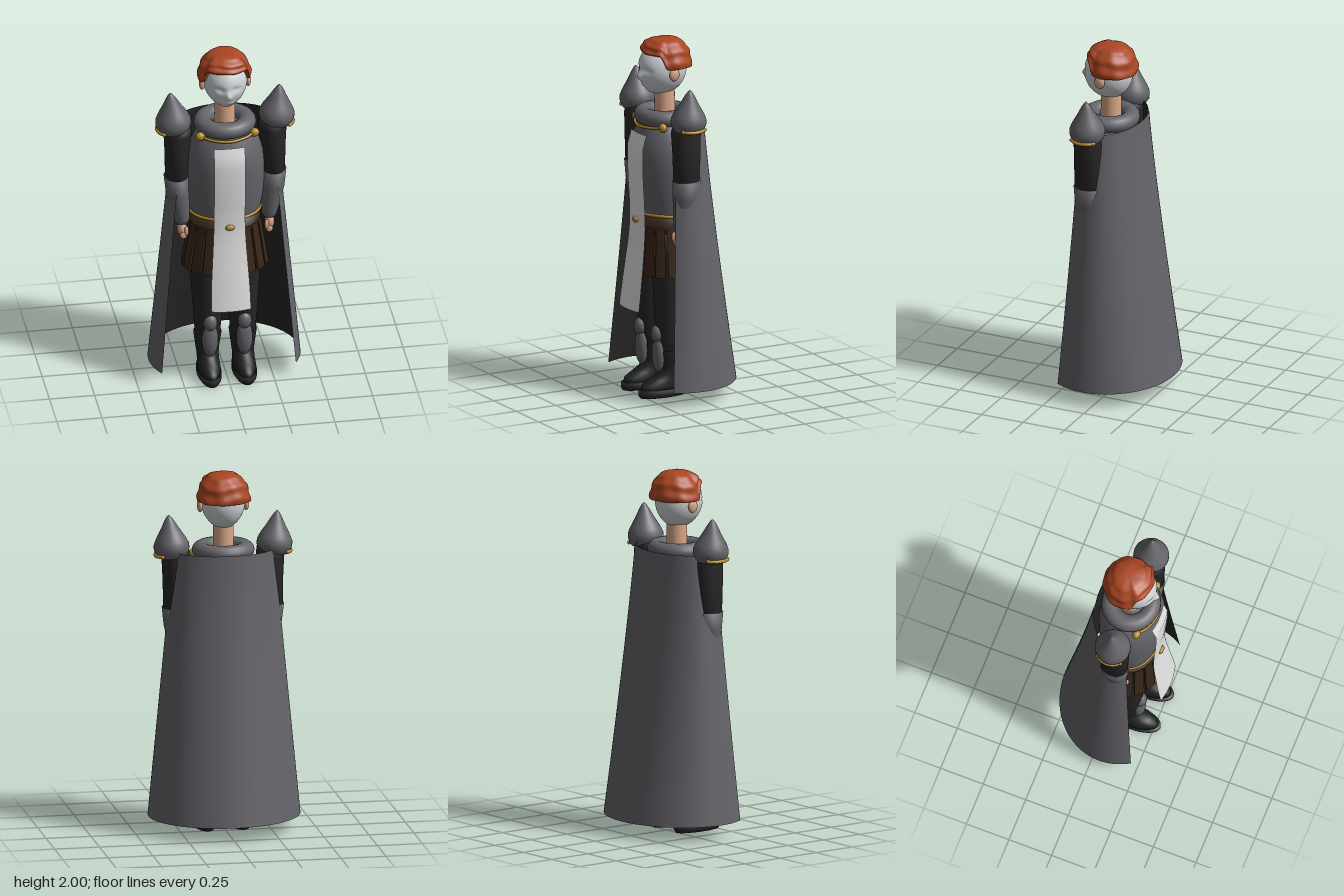
import * as THREE from 'three';
import { mergeVertices } from 'three/addons/utils/BufferGeometryUtils.js';
import { ParametricGeometry } from 'three/addons/geometries/ParametricGeometry.js';

const mat = (name, color, side = THREE.FrontSide) => {
  const m = new THREE.MeshStandardMaterial({ color, side });
  m.name = name;
  return m;
};
const { lerp, smoothstep } = THREE.MathUtils;

// Smooth surface from a rule (u, v) -> [x, y, z], welded along its seams
function surface(rule, nu, nv) {
  const g = new ParametricGeometry((u, v, p) => p.set(...rule(u, v)), nu, nv);
  g.deleteAttribute('uv');
  g.deleteAttribute('normal');
  const m = mergeVertices(g, 1e-5);
  m.computeVertexNormals();
  return m;
}

// Blend linearly along a list of rows
function sample(rows, v) {
  const f = v * (rows.length - 1), i = Math.min(Math.floor(f), rows.length - 2);
  return rows[i].map((a, k) => lerp(a, rows[i + 1][k], f - i));
}

// Elliptic rings from bottom to top: [y, rx, rz, cx, cz]
function loft(rows, sides = 36) {
  const all = [[rows[0][0], 0, 0, rows[0][3], rows[0][4]], ...rows];
  const top = rows[rows.length - 1];
  all.push([top[0], 0, 0, top[3], top[4]]);
  return surface((u, v) => {
    const [y, rx, rz, cx, cz] = sample(all, v), a = u * Math.PI * 2;
    return [cx + rx * Math.sin(a), y, cz + rz * Math.cos(a)];
  }, sides, all.length - 1);
}

function ball(rx, ry, rz, x, y, z) {
  return new THREE.SphereGeometry(1, 24, 16).scale(rx, ry, rz).translate(x, y, z);
}

export function createModel() {
  const model = new THREE.Group();
  const steel = mat('steelGrey', 0x64646a);
  const black = mat('blackCloth', 0x262626);
  const boot = mat('bootBlack', 0x202122);
  const brown = mat('brownLeather', 0x3a2719);
  const gold = mat('gold', 0xb48a26);
  const white = mat('whiteCloth', 0xe4e4e4, THREE.DoubleSide);
  const pale = mat('paleFace', 0xd0d4d7);
  const skin = mat('skin', 0xdba888);
  const red = mat('redHair', 0xaa4522);
  const add = (name, geometry, material, parent = model) => {
    const m = new THREE.Mesh(geometry, material);
    m.name = name;
    parent.add(m);
    return m;
  };

  // Head: a sphere with a narrowed jaw, eye sockets, nose and lips
  const head = new THREE.SphereGeometry(1, 56, 48);
  head.rotateY(Math.PI / 2);
  const hp = head.attributes.position;
  const bump = (x, y, cx, cy, w, h) => Math.exp(-(((x - cx) / w) ** 2) - ((y - cy) / h) ** 2);
  for (let i = 0; i < hp.count; i++) {
    const px = hp.getX(i), py = hp.getY(i), pz = hp.getZ(i);
    const x = px * 0.12 * (py < 0 ? 1 - 0.15 * py * py : 1), y = 1.83 + 0.147 * py;
    let z = 0.08 + pz * (pz > 0 ? 0.142 : 0.132);
    if (pz > 0) {
      z += 0.026 * bump(x, y, 0, 1.795, 0.017, 0.026) + 0.012 * bump(x, y, 0, 1.745, 0.035, 0.012)
        + 0.014 * bump(x, y, 0, 1.71, 0.04, 0.02)
        - 0.013 * (bump(x, y, 0.045, 1.832, 0.025, 0.016) + bump(x, y, -0.045, 1.832, 0.025, 0.016));
    }
    hp.setXYZ(i, x, y, z);
  }
  head.deleteAttribute('uv');
  head.deleteAttribute('normal');
  const headSmooth = mergeVertices(head, 1e-5);
  headSmooth.computeVertexNormals();
  add('head', headSmooth, pale);

  // Hair: wavy cap, raised over the brow
  add('hair', surface((u, v) => {
    const a = u * Math.PI * 2 + Math.PI, s = Math.max(0, (v - 0.1) / 0.9);
    const bottom = lerp(1.845, 1.922, smoothstep(Math.cos(a), 0.45, 0.7));
    const h = Math.sin(s * Math.PI / 2);
    let r = Math.pow(Math.max(0, Math.cos(s * Math.PI / 2)), 0.75) * (v < 0.1 ? 0.78 + 2.2 * v : 1);
    r *= 0.98 + 0.025 * Math.sin(s * 20 + Math.sin(a * 3)) + 0.015 * Math.sin(9 * a + s * 5);
    return [0.15 * r * Math.sin(a), lerp(bottom, 2, h), 0.06 + 0.141 * r * Math.cos(a)];
  }, 72, 40), red);
  add('neck', new THREE.CylinderGeometry(0.055, 0.058, 0.2, 24).translate(0, 1.64, 0.07), skin);

  // Torso armour, collar and belt
  add('breastplate', loft([
    [0.93, 0.17, 0.135, 0, 0.08], [1.02, 0.192, 0.148, 0, 0.08], [1.1, 0.207, 0.157, 0, 0.08],
    [1.2, 0.216, 0.168, 0, 0.08], [1.3, 0.217, 0.174, 0, 0.08], [1.38, 0.21, 0.176, 0, 0.08],
    [1.45, 0.19, 0.163, 0, 0.078], [1.51, 0.165, 0.14, 0, 0.076], [1.56, 0.12, 0.12, 0, 0.075],
  ], 48), steel);
  add('collar', new THREE.TorusGeometry(0.122, 0.05, 16, 48).rotateX(Math.PI / 2)
    .scale(1, 0.92, 0.94).translate(0, 1.565, 0.075), steel);
  add('belt', loft([[0.93, 0.195, 0.158, 0, 0.08], [1.02, 0.196, 0.152, 0, 0.08]], 48), brown);
  add('waistTrim', new THREE.TorusGeometry(1, 0.045, 8, 64).rotateX(Math.PI / 2)
    .scale(0.195, 0.2, 0.153).translate(0, 1.03, 0.08), gold);
  add('buckle', ball(0.026, 0.017, 0.014, 0, 0.99, 0.253), gold);
  const chain = new THREE.CatmullRomCurve3([
    [-0.15, 1.53, 0.16], [-0.1, 1.522, 0.2], [0, 1.518, 0.23], [0.1, 1.522, 0.2], [0.15, 1.53, 0.16],
  ].map((p) => new THREE.Vector3(...p)));
  add('collarChain', new THREE.TubeGeometry(chain, 32, 0.008, 8), gold);

  // Tabard hanging over the chest and skirt
  const drop = [[1.48, 0.24], [1.4, 0.264], [1.3, 0.264], [1.2, 0.26], [1.1, 0.253],
    [1.03, 0.251], [0.95, 0.25], [0.85, 0.259], [0.67, 0.284], [0.49, 0.308]];
  add('tabard', surface((u, v) => {
    const [y, z] = sample(drop, 1 - v);
    const x = (u * 2 - 1) * lerp(0.11, 0.086, smoothstep(y, 0.49, 1.05));
    return [x, y, z - 1.3 * x * x];
  }, 12, 18), white);

  // Skirt of leather strips around the hips
  const skirt = new THREE.Group();
  skirt.name = 'skirt';
  model.add(skirt);
  for (let i = 0; i < 18; i++) {
    const g = new THREE.BoxGeometry(1, 1, 1, 3, 1, 1), p = g.attributes.position;
    for (let k = 0; k < p.count; k++) {
      const a = (i + 0.5) * Math.PI / 9 + p.getX(k) * 0.28, t = 0.5 - p.getY(k), o = p.getZ(k) * 0.02;
      p.setXYZ(k, (lerp(0.188, 0.232, t) + o) * Math.sin(a), lerp(0.965, 0.69, t),
        0.075 + (lerp(0.155, 0.181, t) + o) * Math.cos(a));
    }
    g.computeVertexNormals();
    add('skirtStrip', g, brown, skirt);
  }

  // Cape with a dark lining
  const cape = (inset, flip) => surface((u, v) => {
    const a = (flip ? 1 - 2 * u : 2 * u - 1) * 2.06;
    return [(lerp(0.28, 0.42, v) - inset) * Math.sin(a), lerp(1.57, 0.085, v),
      lerp(0.06, 0.05, v) - (0.175 + 0.185 * v ** 1.2 - inset) * Math.cos(a)];
  }, 64, 20);
  add('cape', cape(0, false), steel);
  add('capeLining', cape(0.004, true), black);

  for (const s of [1, -1]) {
    const side = new THREE.Group();
    side.name = s > 0 ? 'leftSide' : 'rightSide';
    model.add(side);
    add('ear', ball(0.016, 0.036, 0.03, 0.128 * s, 1.815, 0.08), skin, side);
    add('chainStud', ball(0.027, 0.025, 0.022, 0.15 * s, 1.53, 0.165), gold, side);

    // Arm
    add('sleeve', loft([[1.22, 0.062, 0.075, 0.269 * s, 0.082], [1.4, 0.066, 0.08, 0.268 * s, 0.083],
      [1.52, 0.078, 0.083, 0.262 * s, 0.083], [1.58, 0.07, 0.07, 0.26 * s, 0.08]]), black, side);
    add('forearmGuard', loft([[0.965, 0.036, 0.036, 0.243 * s, 0.1], [0.99, 0.044, 0.045, 0.243 * s, 0.1],
      [1.06, 0.054, 0.056, 0.253 * s, 0.095], [1.15, 0.064, 0.07, 0.264 * s, 0.088],
      [1.25, 0.069, 0.081, 0.27 * s, 0.083]]), steel, side);
    add('palm', ball(0.026, 0.048, 0.034, 0.243 * s, 0.93, 0.105), skin, side);
    for (let f = 0; f < 4; f++) {
      add('finger', ball(0.02, 0.022, 0.011, 0.238 * s, 0.887 + f * 0.003, 0.08 + f * 0.017), skin, side);
    }
    add('thumb', ball(0.012, 0.03, 0.012, 0.222 * s, 0.925, 0.137), skin, side);

    // Peaked shoulder guard with a gold arc on its outer rim
    const guard = new THREE.Group();
    guard.name = 'shoulderGuard';
    guard.position.set(0.283 * s, 1.55, 0.08);
    guard.rotation.z = -0.09 * s;
    side.add(guard);
    add('shoulderDome', loft([[-0.02, 0.06], [-0.012, 0.078], [0.005, 0.09], [0.03, 0.098], [0.055, 0.097],
      [0.08, 0.087], [0.105, 0.073], [0.135, 0.055], [0.165, 0.039], [0.19, 0.026], [0.21, 0.013], [0.22, 0.004],
    ].map(([y, r]) => [y, r, r, 0, 0])), steel, guard);
    const arc = new THREE.CatmullRomCurve3([-0.8, -0.4, 0, 0.4, 0.8].map((a) =>
      new THREE.Vector3(0.093 * Math.cos(a) * s, 0.004, 0.093 * Math.sin(a))));
    add('shoulderTrim', new THREE.TubeGeometry(arc, 24, 0.01, 8), gold, guard);
    for (const a of [-0.8, 0.8]) {
      add('trimEnd', ball(0.011, 0.011, 0.011, 0.093 * Math.cos(a) * s, 0.004, 0.093 * Math.sin(a)), gold, guard);
    }

    // Leg, boot and shin guard
    const x = 0.098 * s;
    add('trouserLeg', loft([[0.2, 0.066, 0.075, x, 0.085], [0.36, 0.077, 0.087, x, 0.09],
      [0.6, 0.093, 0.1, x, 0.085], [0.8, 0.098, 0.115, x, 0.08], [0.95, 0.09, 0.12, 0.09 * s, 0.08]]), black, side);
    add('boot', loft([[0.04, 0.063, 0.14, x, 0.132], [0.07, 0.062, 0.133, x, 0.13], [0.095, 0.06, 0.108, x, 0.112],
      [0.125, 0.06, 0.08, x, 0.085], [0.17, 0.066, 0.077, x, 0.08], [0.255, 0.077, 0.086, x, 0.085],
      [0.262, 0.07, 0.08, x, 0.085]]), boot, side);
    add('sole', loft([[0, 0.056, 0.142, x, 0.133], [0.015, 0.066, 0.152, x, 0.133],
      [0.045, 0.066, 0.152, x, 0.133]]), boot, side);
    add('kneeGuard', ball(0.038, 0.05, 0.035, 0.095 * s, 0.352, 0.168), steel, side);
    add('shinGuard', ball(0.045, 0.105, 0.035, 0.095 * s, 0.24, 0.16), steel, side);
  }
  return model;
}
